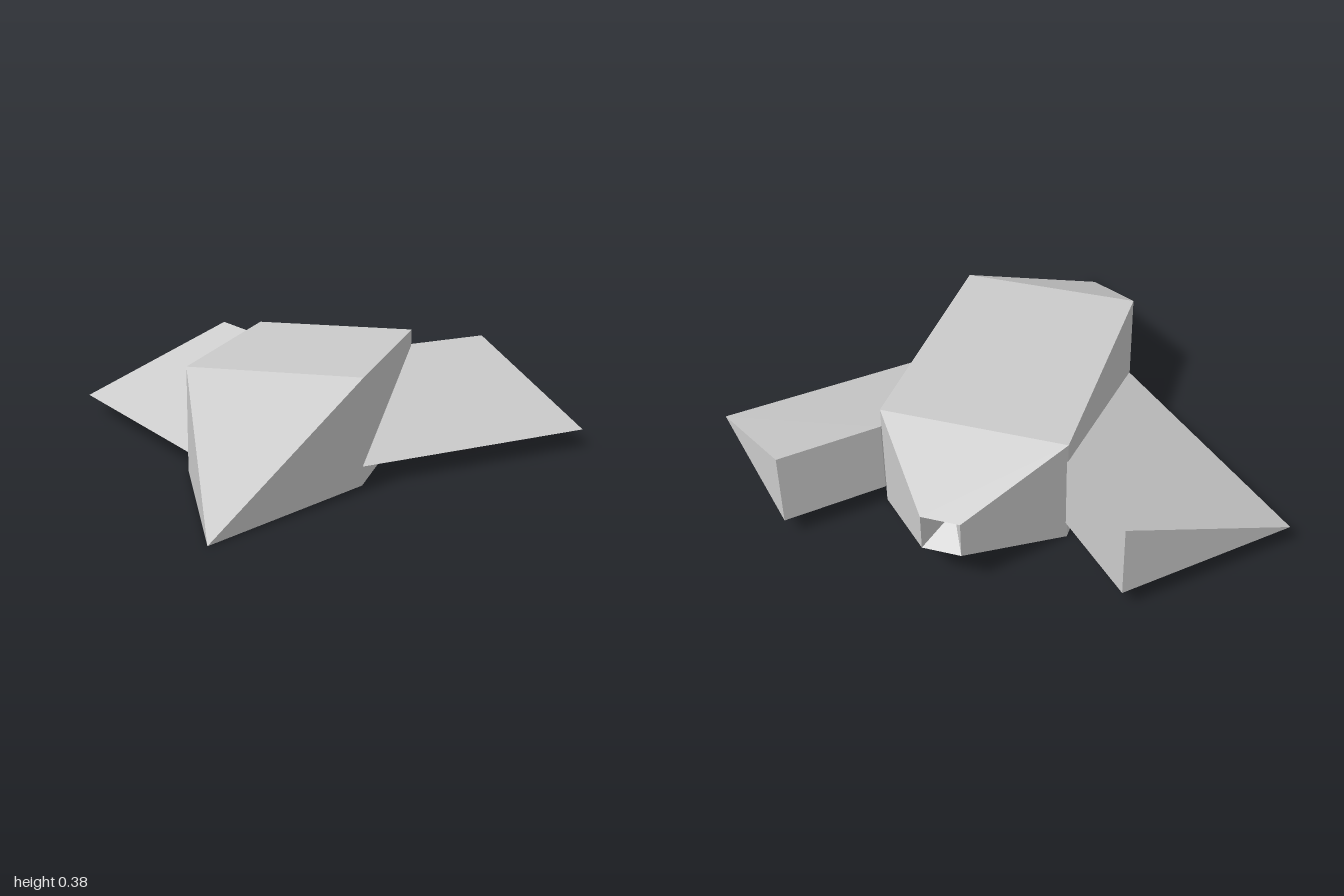
import * as THREE from 'three';
import { ConvexGeometry } from 'three/addons/geometries/ConvexGeometry.js';

const material = new THREE.MeshStandardMaterial({ color: 0xcccccc, flatShading: true });

function addPart(group, name, geometry) {
  const mesh = new THREE.Mesh(geometry, material);
  mesh.name = name;
  group.add(mesh);
}

// Skins rectangular sections [half width, bottom, top, z], listed from front to back.
function loftRectangles(sections) {
  const rings = sections.map(([w, lo, hi, z]) =>
    [[w, lo, z], [w, hi, z], [-w, hi, z], [-w, lo, z]]);
  const positions = [];
  for (let s = 0; s < rings.length - 1; s++) {
    for (let i = 0; i < 4; i++) {
      const j = (i + 1) % 4;
      const a = rings[s][i], b = rings[s][j];
      const c = rings[s + 1][j], d = rings[s + 1][i];
      // a section of zero width is a point, so one triangle falls away
      if (sections[s][0] > 0) positions.push(...a, ...d, ...b);
      if (sections[s + 1][0] > 0) positions.push(...b, ...d, ...c);
    }
  }
  const geometry = new THREE.BufferGeometry();
  geometry.setAttribute('position', new THREE.Float32BufferAttribute(positions, 3));
  geometry.computeVertexNormals();
  return geometry;
}

// Swept wedge: thin leading edge low at the front, tall trailing face at the rear.
function wingGeometry(side) {
  const low = 0.065, high = 0.315;
  const corners = [
    [0.31, low, 0.24], [1, low, -0.445],
    [0.556, low, -0.886], [0.556, high, -0.886],
    [0.31, low, -0.635], [0.31, high, -0.635],
  ];
  return new ConvexGeometry(corners.map(([x, y, z]) => new THREE.Vector3(side * x, y, z)));
}

export function createModel() {
  const model = new THREE.Group();
  model.name = 'spacecraft';

  // Pointed nose, box body, tapered tail and the recessed exhaust
  addPart(model, 'hull', loftRectangles([
    [0, 0, 0, 0.935],
    [0.312, 0, 0.375, 0.245],
    [0.312, 0, 0.375, -0.625],
    [0.064, 0.125, 0.25, -0.935],
    [0, 0.1875, 0.1875, -0.815],
  ]));

  addPart(model, 'leftWing', wingGeometry(1));
  addPart(model, 'rightWing', wingGeometry(-1));
  return model;
}
